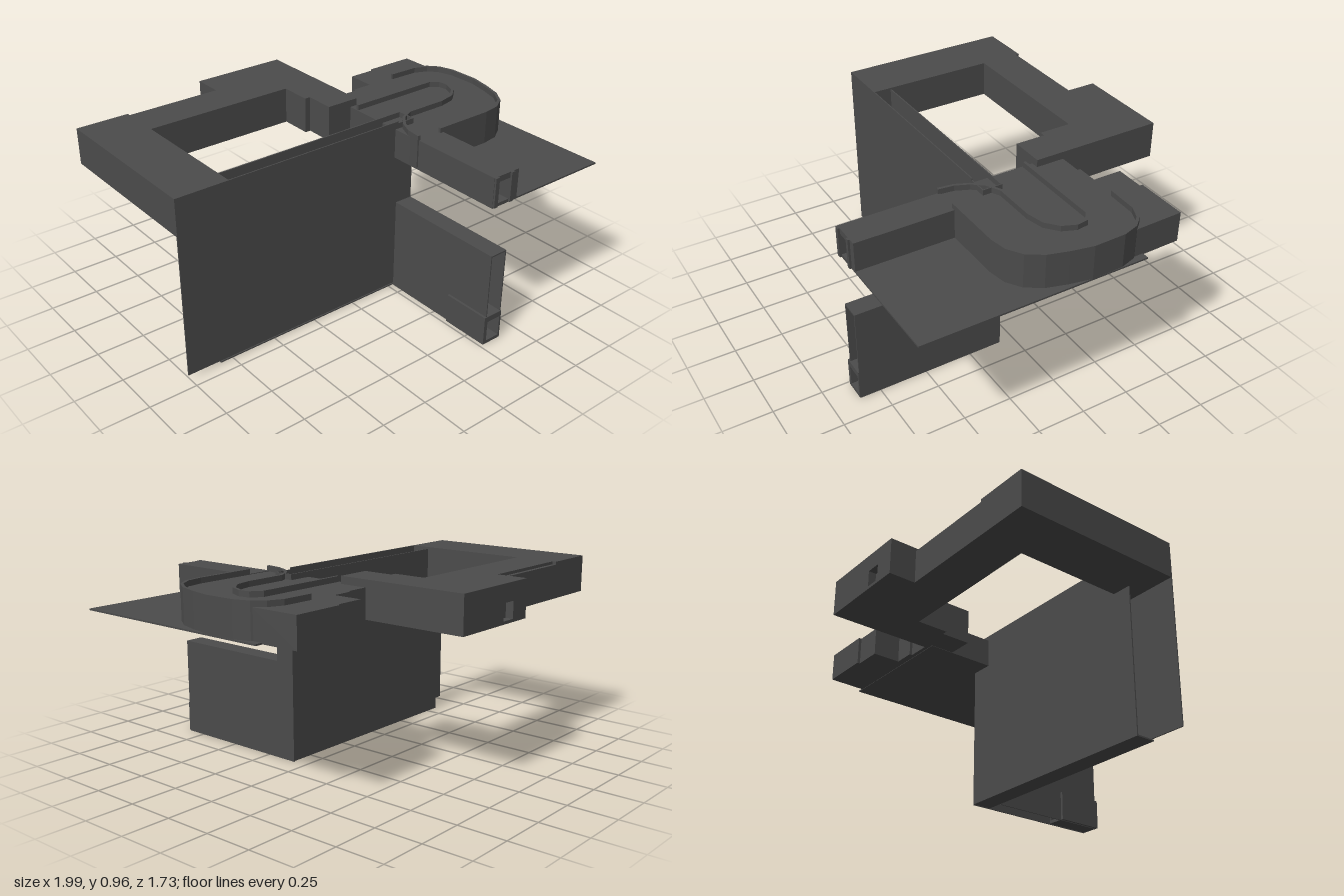
import * as THREE from 'three';

export function createModel() {
  const model = new THREE.Group();
  const grey = new THREE.MeshStandardMaterial({ color: 0x4b4b4b, side: THREE.DoubleSide });
  grey.name = 'dark grey';

  const add = (name, geometry) => {
    const mesh = new THREE.Mesh(geometry, grey);
    mesh.name = name;
    model.add(mesh);
    return mesh;
  };

  // Box given by its extents
  const box = (name, x0, x1, y0, y1, z0, z1) => {
    const mesh = add(name, new THREE.BoxGeometry(x1 - x0, y1 - y0, z1 - z0));
    mesh.position.set((x0 + x1) / 2, (y0 + y1) / 2, (z0 + z1) / 2);
  };

  // Plan outline of [x, z] points raised from y0 to y1
  const slab = (name, outline, y0, y1) => {
    const shape = new THREE.Shape(outline.map(([x, z]) => new THREE.Vector2(x, -z)));
    const g = new THREE.ExtrudeGeometry(shape, { depth: y1 - y0, bevelEnabled: false });
    g.rotateX(-Math.PI / 2);
    g.translate(0, y0, 0);
    add(name, g);
  };

  // Upright plate facing z, with one rectangular opening [x0, x1, y0, y1]
  const frame = (name, [x0, x1, y0, y1], [a0, a1, b0, b1], z0, z1) => {
    const rect = (path, l, r, b, t) => path.moveTo(l, b).lineTo(r, b).lineTo(r, t).lineTo(l, t).closePath();
    const shape = rect(new THREE.Shape(), x0, x1, y0, y1);
    shape.holes.push(rect(new THREE.Path(), a0, a1, b0, b1));
    const g = new THREE.ExtrudeGeometry(shape, { depth: z1 - z0, bevelEnabled: false });
    g.translate(0, 0, z0);
    add(name, g);
  };

  // Narrow raised rim following a path of [x, z] points
  const rim = (name, path, y0, y1, width) => {
    const pts = path.map(([x, z]) => new THREE.Vector2(x, z));
    const side = (s) => pts.map((p, i) => {
      const d = pts[Math.min(i + 1, pts.length - 1)].clone().sub(pts[Math.max(i - 1, 0)]).normalize();
      return [p.x - d.y * s * width / 2, p.y + d.x * s * width / 2];
    });
    slab(name, [...side(1), ...side(-1).reverse()], y0, y1);
  };

  // Upper corridor running round the left and back
  slab('upperCorridor', [
    [-1, 0.18], [-1, -0.73], [-0.72, -0.73], [-0.72, -0.71], [-0.21, -0.71], [-0.21, -0.83],
    [0.3, -0.83], [0.3, -0.17], [0.12, -0.17], [0.12, -0.33], [0.09, -0.33], [0.09, -0.5],
    [-0.72, -0.5], [-0.72, 0.18]], 0.77, 0.96);
  box('corridorBackLip', -0.72, -0.21, 0.77, 0.945, -0.73, -0.71);
  frame('backRoomWall', [-0.21, 0.3, 0.77, 0.96], [-0.1, -0.02, 0.785, 0.87], -0.87, -0.83);
  box('connector', 0.12, 0.42, 0.77, 0.91, -0.27, -0.17);

  // Tall narrow shaft behind the front wall, open at the top and at its left end
  box('frontWall', -1, 0.28, 0.015, 0.96, 0.174, 0.18);
  box('frontWallEnd', 0.28, 0.38, 0.5, 0.95, 0.174, 0.18);
  box('innerWall', -0.82, 0.38, 0.005, 0.95, 0.075, 0.082);
  box('shaftEnd', 0.374, 0.38, 0, 0.95, 0.075, 0.18);
  box('shaftFloor', -0.82, 0.38, 0.003, 0.01, 0.075, 0.18);

  // Lower passage reaching forward
  box('lowerOuterWall', 0.374, 0.38, 0, 0.505, 0.08, 0.855);
  box('lowerInnerWall', 0.28, 0.286, 0, 0.505, 0.18, 0.855);
  box('lowerCeiling', 0.28, 0.38, 0.498, 0.505, 0.18, 0.855);
  frame('lowerDoorway', [0.267, 0.38, 0.003, 0.16], [0.287, 0.37, 0.02, 0.13], 0.6, 0.86);

  // Base sheet, upper arm and winding room
  box('baseSheet', 0.26, 0.99, 0.768, 0.776, -0.3, 0.85);
  frame('upperArm', [0.26, 0.42, 0.77, 0.925], [0.285, 0.365, 0.785, 0.895], 0.34, 0.85);
  box('upperDoorway', 0.262, 0.285, 0.772, 0.925, 0.85, 0.86);
  box('upperDoorwayPost', 0.365, 0.385, 0.772, 0.925, 0.85, 0.86);

  const outerCurve = [
    [0.72, 0.345], [0.81, 0.33], [0.88, 0.285], [0.93, 0.21], [0.96, 0.11], [0.983, 0],
    [0.98, -0.16], [0.955, -0.24], [0.91, -0.29], [0.84, -0.32]];
  slab('windingRoom', [
    [0.26, 0.35], ...outerCurve.slice(0, 8), [0.95, -0.5], [0.68, -0.5], [0.68, -0.485],
    [0.53, -0.485], [0.53, -0.335], [0.42, -0.335], [0.42, -0.32], [0.3, -0.32], [0.3, -0.26],
    [0.26, -0.26]], 0.77, 0.922);
  rim('outerRim', [[0.4, 0.345], ...outerCurve, [0.68, -0.325]], 0.77, 0.95, 0.015);
  rim('innerRim', [
    [0.26, 0.35], [0.27, 0.27], [0.3, 0.2], [0.35, 0.14], [0.42, 0.105], [0.64, 0.105],
    [0.73, 0.085], [0.79, 0.035], [0.817, -0.03], [0.81, -0.085], [0.765, -0.12],
    [0.265, -0.12]], 0.78, 0.95, 0.015);

  return model;
}
